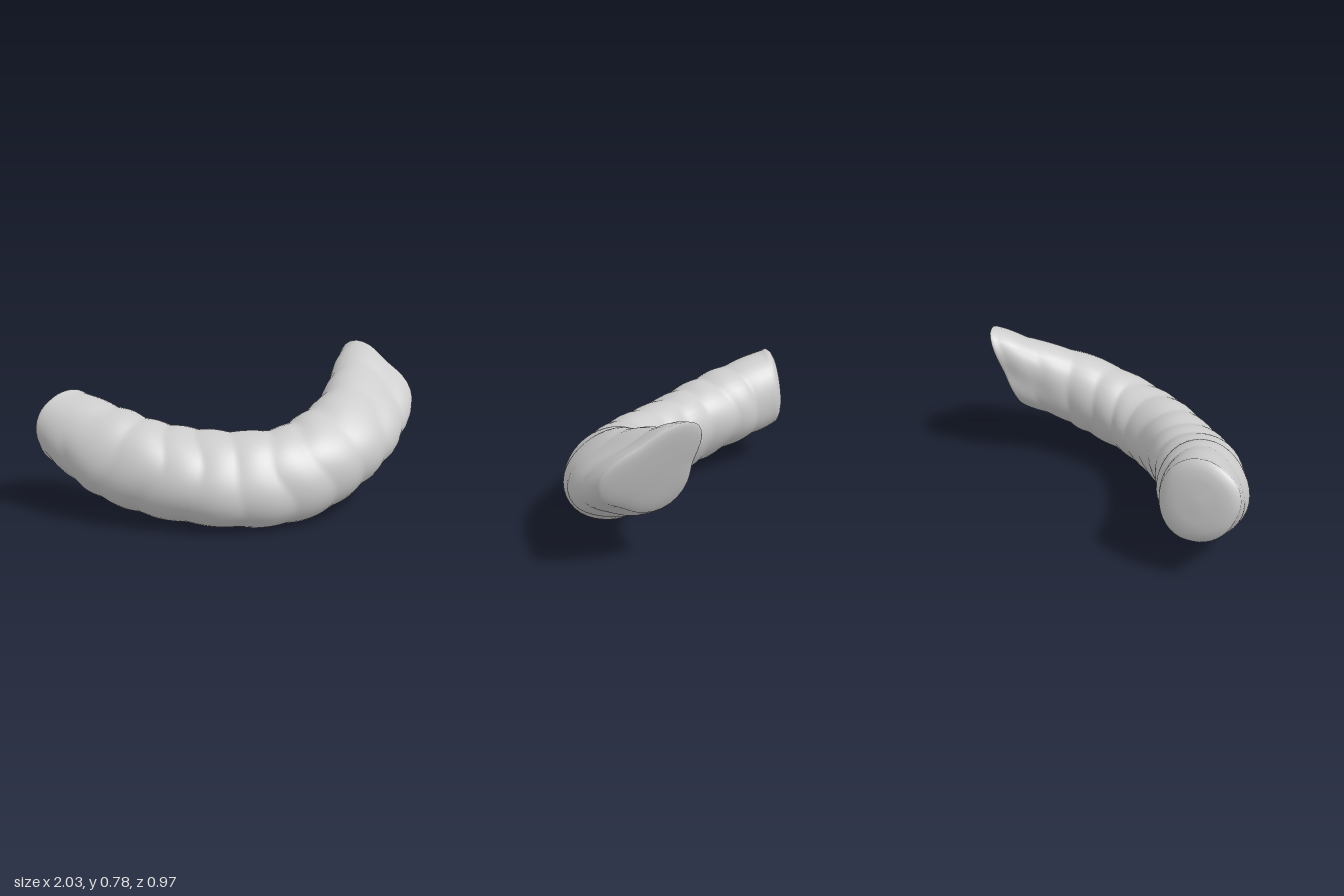
import * as THREE from 'three';

const V = (x, y, z) => new THREE.Vector3(x, y, z);

// Centre line of the bent, segmented body
const spine = new THREE.CatmullRomCurve3([
  V(-0.88, 0.44, -0.14), V(-0.72, 0.37, -0.01), V(-0.5, 0.30, 0.125), V(-0.25, 0.255, 0.215),
  V(0, 0.242, 0.255), V(0.25, 0.26, 0.225), V(0.45, 0.32, 0.13), V(0.61, 0.395, -0.01),
  V(0.705, 0.465, -0.16), V(0.785, 0.54, -0.31),
]);
const across = V(0, 0.88, 0.48).normalize(); // normal of the plane of the bend
const LOBES = 11, STEPS = 132, SIDES = 40;
const { lerp, smoothstep } = THREE.MathUtils;

// One cross-section: shrink < 1 makes the rings that close an end
function ring(t, shrink, push) {
  const c = spine.getPointAt(t), T = spine.getTangentAt(t);
  const outward = T.clone().cross(across).normalize();
  const w = across.clone().addScaledVector(T, -across.dot(T)).normalize();
  const end = smoothstep(t, 0.7, 1);
  const start = 1 - smoothstep(t, 0, 0.16);
  const ra = 0.226 - 0.032 * start;
  const rb = lerp(0.222, 0.175, end) - 0.015 * start;
  const pts = [];
  for (let j = 0; j < SIDES; j++) {
    const a = (j / SIDES) * Math.PI * 2;
    // folds between lobes wander a little around the body
    const phase = t * LOBES + 0.16 * Math.sin(a * 2 + t * 9) + 0.1 * Math.sin(a * 3 - t * 14);
    const lobe = Math.abs(Math.sin(phase * Math.PI));
    // the belly bulges low on the outer side of the bend, the left end is three-cornered
    const bulge = 0.1 * Math.sin(Math.PI * t) * Math.cos(2 * (a + 0.44));
    const corners = 0.14 * end * Math.cos(3 * a - 0.8);
    const k = shrink * (0.975 + 0.045 * lobe + bulge + corners
      + 0.018 * (1 - end) * Math.sin(a * 3 + t * 17));
    const u = Math.cos(a) * ra * k, v = Math.sin(a) * rb * k;
    // both ends are cut at a slant, the left one facing down and outward
    const slant = end * (0.85 * v - 0.42 * u) - start * (0.3 * v + 0.18 * u);
    pts.push(c.clone().addScaledVector(outward, u).addScaledVector(w, v)
      .addScaledVector(T, push + slant));
  }
  return pts;
}

function bodyGeometry() {
  const cap = [[0.02, 0.05], [0.5, 0.046], [0.74, 0.039], [0.88, 0.026], [0.96, 0.012]];
  const rings = [];
  cap.forEach(([s, p]) => rings.push(ring(0, s, -p)));
  for (let i = 0; i <= STEPS; i++) rings.push(ring(i / STEPS, 1, 0));
  [...cap].reverse().forEach(([s, p]) => rings.push(ring(1, s, p * 0.6)));

  const pos = [], index = [];
  rings.flat().forEach((p) => pos.push(p.x, p.y, p.z));
  for (let i = 0; i < rings.length - 1; i++) {
    for (let j = 0; j < SIDES; j++) {
      const a = i * SIDES + j, b = i * SIDES + ((j + 1) % SIDES);
      index.push(a, a + SIDES, b, b, a + SIDES, b + SIDES);
    }
  }
  // end centres
  const first = pos.length / 3, last = first + 1, base = (rings.length - 1) * SIDES;
  for (const r of [rings[0], rings[rings.length - 1]]) {
    const m = r.reduce((s, p) => s.add(p), V(0, 0, 0)).divideScalar(SIDES);
    pos.push(m.x, m.y, m.z);
  }
  for (let j = 0; j < SIDES; j++) {
    const n = (j + 1) % SIDES;
    index.push(first, j, n, last, base + n, base + j);
  }
  const g = new THREE.BufferGeometry();
  g.setAttribute('position', new THREE.Float32BufferAttribute(pos, 3));
  g.setIndex(index);

  // centre it and stand it on the ground
  g.computeBoundingBox();
  const mid = g.boundingBox.getCenter(V(0, 0, 0));
  g.translate(-mid.x, -g.boundingBox.min.y, -mid.z);
  g.computeVertexNormals();
  return g;
}

export function createModel() {
  const group = new THREE.Group();
  group.name = 'curvedSegmentedBody';
  const body = new THREE.Mesh(bodyGeometry(), new THREE.MeshStandardMaterial({ color: 0xcccccc }));
  body.name = 'body';
  group.add(body);
  return group;
}
